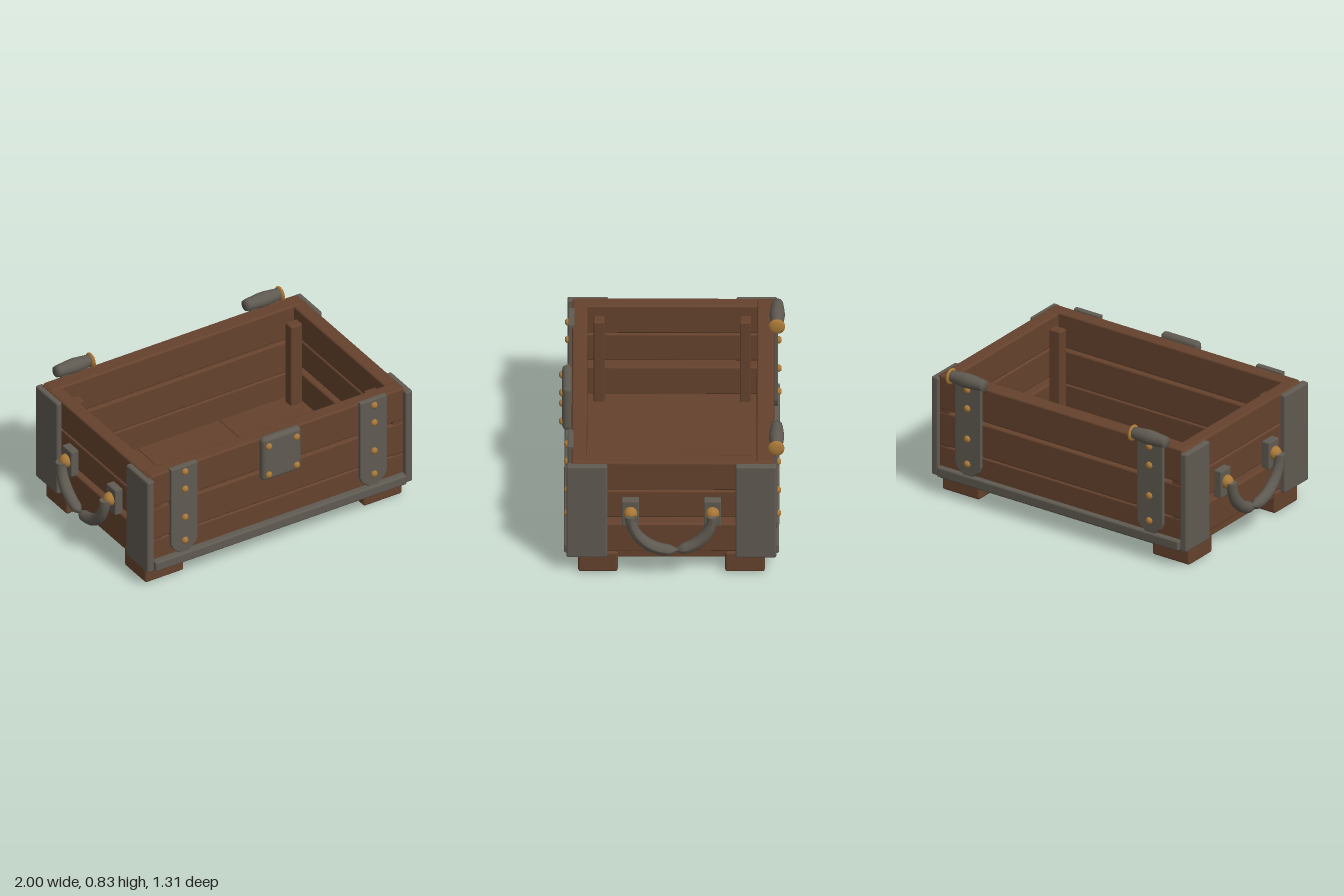
import * as THREE from 'three';
import { RoundedBoxGeometry } from 'three/addons/geometries/RoundedBoxGeometry.js';

export function createModel() {
  const crate = new THREE.Group();
  crate.name = 'crate';
  const mat = (name, color) => Object.assign(new THREE.MeshStandardMaterial({ color }), { name });
  const wood = mat('brown wood', 0x65422d);
  const iron = mat('dull iron', 0x5f5a51);
  const brass = mat('brass', 0xa87838);

  const add = (name, geo, material, x = 0, y = 0, z = 0) => {
    const mesh = new THREE.Mesh(geo, material);
    mesh.name = name;
    mesh.position.set(x, y, z);
    crate.add(mesh);
    return mesh;
  };
  // Softened box given by its limits on each axis
  const box = (name, material, [x0, x1], [y0, y1], [z0, z1], r = 0.012) =>
    add(name, new RoundedBoxGeometry(x1 - x0, y1 - y0, z1 - z0, 2, r), material,
      (x0 + x1) / 2, (y0 + y1) / 2, (z0 + z1) / 2);
  const span = (s, a, b) => (s > 0 ? [a, b] : [-b, -a]);

  // Floor boards
  for (const [a, b] of [[-0.865, -0.281], [-0.279, 0.279], [0.281, 0.865]])
    box('floorBoard', wood, [a, b], [0.095, 0.145], [-0.585, 0.58], 0.006);

  // Long walls with their bottom rails
  for (const s of [1, -1]) {
    for (const y of [[0.135, 0.31], [0.312, 0.525], [0.54, 0.755]])
      box('longPlank', wood, [-0.865, 0.865], y, span(s, 0.49, s > 0 ? 0.578 : 0.59));
    box('bottomRail', iron, [-0.86, 0.86], [0.115, 0.18], span(s, 0.57, 0.622));
  }

  // Short walls, corner plates, feet and inner posts
  for (const sx of [1, -1]) {
    for (const y of [[0.14, 0.33], [0.372, 0.556], [0.56, 0.75]])
      box('endPlank', wood, span(sx, 0.79, 0.877), y, [-0.587, 0.575]);
    for (const sz of [1, -1]) {
      box('cornerPlate', iron, span(sx, 0.86, 0.908), [0.115, 0.742], span(sz, 0.37, 0.607));
      box('foot', wood, span(sx, 0.615, 0.88), [0, 0.135], span(sz, 0.31, 0.54), 0.015);
      box('innerPost', wood, span(sx, 0.707, 0.787), [0.13, 0.69], span(sz, 0.39, 0.455), 0.01);
    }
  }

  // Rivet: flattened faceted dome
  const rivet = (x, y, z) =>
    add('rivet', new THREE.SphereGeometry(0.022, 10, 6), brass, x, y, z).scale.set(1, 1, 0.8);

  // Pointed straps on front and back
  const strapShape = new THREE.Shape([
    [-0.087, 0.762], [-0.087, 0.25], [-0.075, 0.22], [-0.025, 0.175],
    [0.025, 0.175], [0.075, 0.22], [0.087, 0.25], [0.087, 0.762],
  ].map(([x, y]) => new THREE.Vector2(x, y)));
  const strapGeo = new THREE.ExtrudeGeometry(strapShape, {
    depth: 0.026, bevelThickness: 0.004, bevelSize: 0.004, bevelSegments: 1,
  });
  for (const x of [-0.65, 0.645]) for (const s of [1, -1]) {
    const z = s > 0 ? 0.57 : -0.582;
    const strap = add('strap', strapGeo, iron, x, 0, z);
    if (s < 0) strap.rotation.y = Math.PI;
    for (const y of [0.73, 0.61, 0.415, 0.255]) rivet(x, y, s * (Math.abs(z) + 0.034));
  }

  // Hinge barrels with a brass end knob
  const barrelGeo = new THREE.LatheGeometry([
    [0, -0.12], [0.032, -0.12], [0.036, -0.1], [0.044, -0.01], [0.044, 0.02],
    [0.036, 0.1], [0.034, 0.125], [0, 0.125],
  ].map(([r, y]) => new THREE.Vector2(r, y)), 14);
  for (const x of [-0.65, 0.645]) {
    add('hingeBarrel', barrelGeo, iron, x, 0.785, -0.607).rotation.z = -Math.PI / 2;
    add('hingeKnob', new THREE.SphereGeometry(0.05, 10, 8), brass, x + 0.122, 0.78, -0.605).scale.x = 0.33;
  }

  // Lock plate
  box('lockPlate', iron, [-0.135, 0.133], [0.485, 0.778], [0.578, 0.634], 0.025);
  for (const x of [-0.097, 0.093]) for (const y of [0.725, 0.53]) rivet(x, y, 0.636);

  // Drop handles: a half ring whose grip narrows to a neck near its lowest point
  const arcGeo = () => {
    const geo = new THREE.TubeGeometry(new HalfRing(), 48, 1, 12, false);
    const p = geo.attributes.position, c = new THREE.Vector3(), v = new THREE.Vector3();
    for (let i = 0; i < p.count; i++) {
      const t = Math.floor(i / 13) / 48;
      geo.parameters.path.getPointAt(t, c);
      const d = Math.abs(t - 0.54);
      const grip = 0.01 + 0.022 * Math.min(1, d / 0.05) + 0.004 * Math.sin(Math.min(1, d / 0.4) * Math.PI);
      v.fromBufferAttribute(p, i).sub(c).multiplyScalar(grip).add(c);
      p.setXYZ(i, v.x, v.y, v.z);
    }
    geo.computeVertexNormals();
    return geo;
  };
  const handleGeo = arcGeo();
  for (const s of [1, -1]) {
    add('handle', handleGeo, iron, s * 0.966, 0.44, 0);
    for (const z of [-0.237, 0.237]) {
      box('handleBracket', iron, span(s, 0.872, 0.926), [0.343, 0.515], [z - 0.05, z + 0.05], 0.008);
      add('handlePin', new THREE.SphereGeometry(0.042, 10, 8), brass, s * 0.93, 0.437, z);
      // Closed tips of the grip
      const tip = add('handleTip', new THREE.CircleGeometry(0.032, 12), iron, s * 0.966, 0.44, z);
      tip.rotation.x = -Math.PI / 2;
    }
  }
  return crate;
}

// Half circle hanging below the origin, from +z to -z
class HalfRing extends THREE.Curve {
  getPoint(t, target = new THREE.Vector3()) {
    const a = t * Math.PI;
    return target.set(0, -0.232 * Math.sin(a), 0.237 * Math.cos(a));
  }
}
